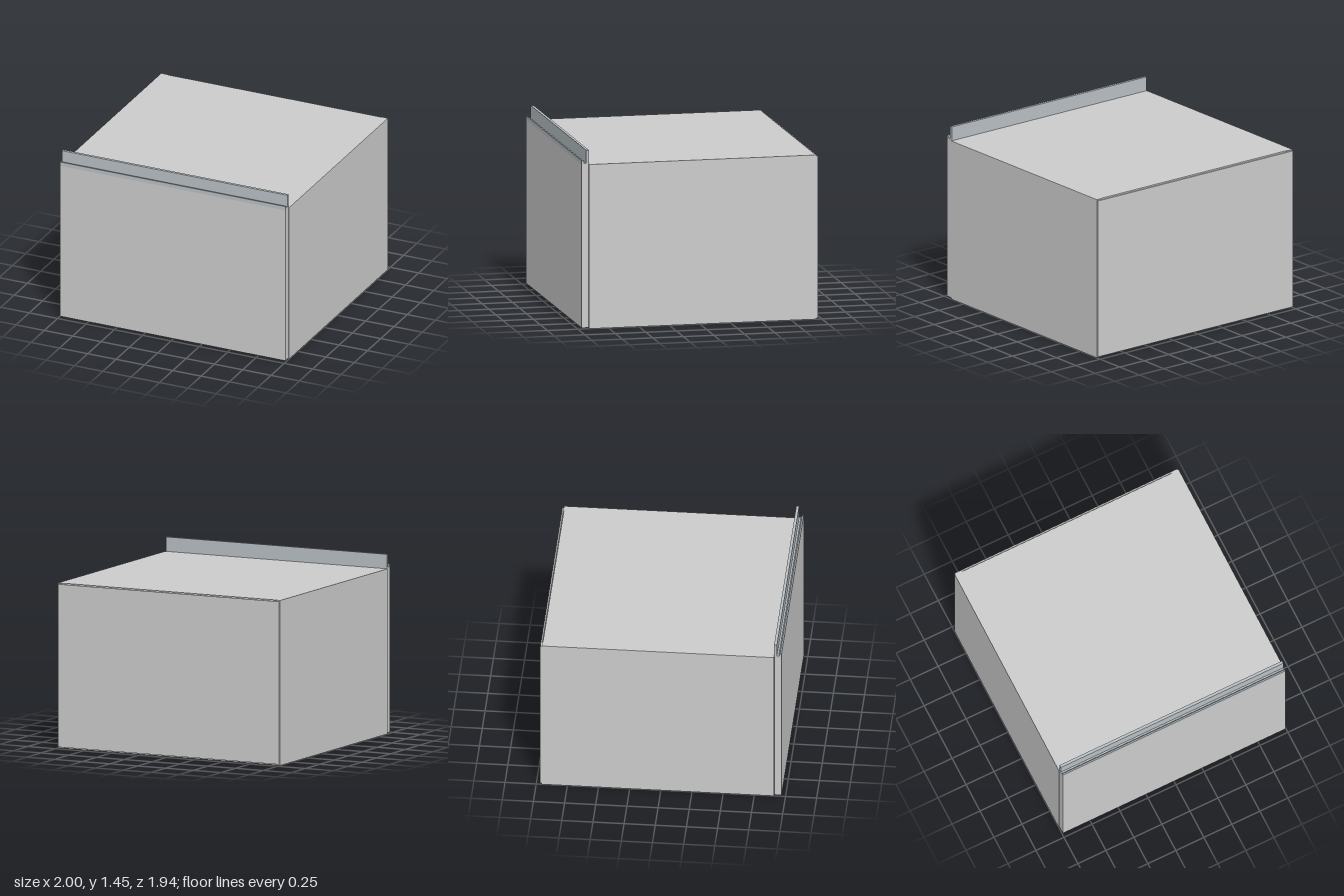
import * as THREE from 'three';

const grey = new THREE.MeshStandardMaterial({ color: 0xcccccc });
const metal = new THREE.MeshStandardMaterial({ color: 0xb8bfc3 });

// Box given by its limits on each axis
function panel(name, [x0, x1], [y0, y1], [z0, z1]) {
  const mesh = new THREE.Mesh(new THREE.BoxGeometry(x1 - x0, y1 - y0, z1 - z0), grey);
  mesh.position.set((x0 + x1) / 2, (y0 + y1) / 2, (z0 + z1) / 2);
  mesh.name = name;
  return mesh;
}

export function createModel() {
  const model = new THREE.Group();
  model.name = 'cabinet';
  const height = 1.335, board = 0.06, back = -0.956, front = 0.908;

  // Carcass: two sides with top and bottom boards between them
  const carcass = new THREE.Group();
  carcass.name = 'carcass';
  const inner = [-1 + board, 1 - board];
  carcass.add(
    panel('rightSide', [-1, -1 + board], [0, height], [back, front]),
    panel('leftSide', [1 - board, 1], [0, height], [back, front]),
    panel('bottomBoard', inner, [0, board], [-0.951, front]),
    panel('topBoard', inner, [height - board, height], [-0.951, front])
  );
  model.add(carcass);

  // Thin back panel and overlaid drawer front
  model.add(panel('backPanel', [-0.995, 0.995], [0.01, 1.326], [-0.968, back]));
  model.add(panel('drawerFront', [-0.994, 0.994], [0.008, height], [0.912, 0.968]));

  // Handle rail: upright fin and front lip, one section swept across the width
  const section = [
    [0.908, 1.335], [0.968, 1.335], [0.968, 1.368], [0.957, 1.368],
    [0.945, 1.347], [0.931, 1.347], [0.931, 1.452], [0.908, 1.452]
  ];
  const shape = new THREE.Shape(section.map(([z, y]) => new THREE.Vector2(-z, y)));
  const railGeometry = new THREE.ExtrudeGeometry(shape, { depth: 1.988, bevelEnabled: false });
  railGeometry.translate(0, 0, -0.994).rotateY(Math.PI / 2);
  const rail = new THREE.Mesh(railGeometry, metal);
  rail.name = 'handleRail';
  model.add(rail);

  return model;
}
